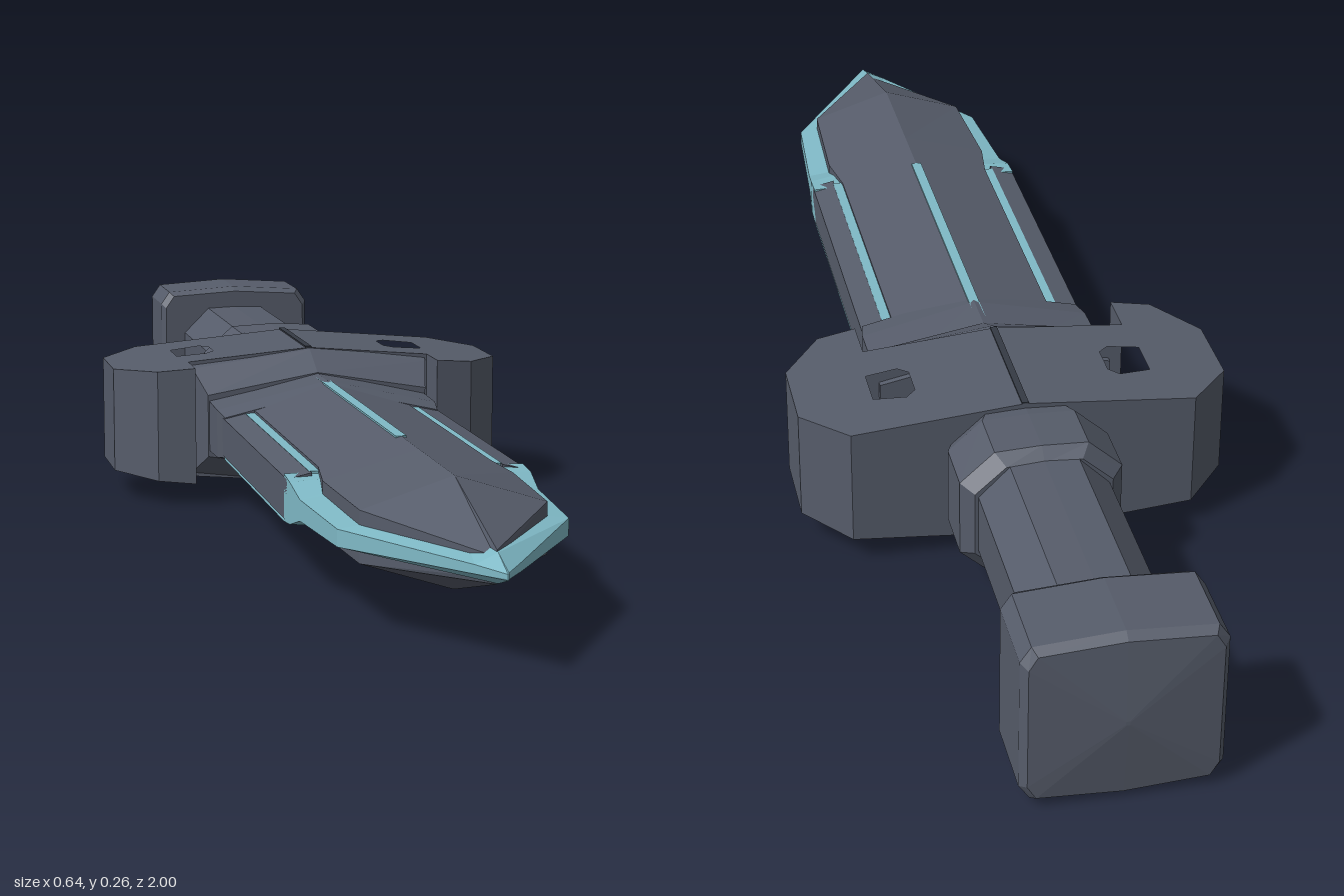
import * as THREE from 'three';

const steel = new THREE.MeshStandardMaterial({ color: 0x565c6a });
steel.name = 'darkSteel';
const glow = new THREE.MeshStandardMaterial({ color: 0x7fb9c6 });
glow.name = 'paleCyan';
const shade = new THREE.MeshStandardMaterial({ color: 0x353a44 });
shade.name = 'recessGrey';

// Skin counter-clockwise [x, y] sections placed along z, with flat faces and end caps.
function loft(rings) {
  const pos = [];
  const tri = (...pts) => pts.forEach((p) => pos.push(...p));
  const loops = rings.map(([z, pts]) => pts.map(([x, y]) => [x, y, z]));
  const n = loops[0].length;
  for (let r = 0; r < loops.length - 1; r++) {
    const a = loops[r], b = loops[r + 1];
    for (let i = 0; i < n; i++) {
      const j = (i + 1) % n;
      tri(a[i], a[j], b[j]);
      tri(a[i], b[j], b[i]);
    }
  }
  const first = loops[0], last = loops[loops.length - 1];
  for (let i = 1; i < n - 1; i++) {
    tri(first[0], first[i + 1], first[i]);
    tri(last[0], last[i], last[i + 1]);
  }
  const g = new THREE.BufferGeometry();
  g.setAttribute('position', new THREE.Float32BufferAttribute(pos, 3));
  g.computeVertexNormals();
  return g;
}

// Ridged six-sided section: half width, ridge height, edge height.
const ridged = (w, h, e) => [[w, -e], [w, e], [0, h], [-w, e], [-w, -e], [0, -h]];

// Chamfered section with a slight peak above and below.
function chamfered(w, h, cx, cy, peak = 0) {
  const q = [[w, h - cy], [w - cx, h], [0, h + peak], [-w + cx, h], [-w, h - cy]];
  return [...q, ...q.map(([x, y]) => [-x, -y])];
}

export function createModel() {
  const model = new THREE.Group();
  model.name = 'dagger';
  const body = new THREE.Group();
  body.name = 'daggerBody';
  body.position.y = 0.132;
  model.add(body);

  const add = (name, geometry, material, parent = body) => {
    const m = new THREE.Mesh(geometry, material);
    m.name = name;
    parent.add(m);
    return m;
  };
  const box = (name, material, [w, h, d], [x, y, z], parent = body) => {
    const m = add(name, new THREE.BoxGeometry(w, h, d), material, parent);
    m.position.set(x, y, z);
    return m;
  };

  // Blade core with a central ridge
  add('bladeCore', loft([
    [-0.2, ridged(0.125, 0.077, 0.042)],
    [0.47, ridged(0.125, 0.077, 0.042)],
    [0.55, ridged(0.136, 0.077, 0.038)],
    [0.74, ridged(0.128, 0.077, 0.036)],
    [0.945, ridged(0.003, 0.022, 0.014)],
  ]), steel);

  // Bright cutting edge round the point
  add('cuttingEdge', loft([
    [0.47, ridged(0.174, 0.04, 0.034)],
    [0.51, ridged(0.174, 0.04, 0.03)],
    [0.56, ridged(0.17, 0.036, 0.015)],
    [0.74, ridged(0.158, 0.034, 0.012)],
    [0.95, ridged(0.03, 0.02, 0.006)],
    [0.998, ridged(0.001, 0.005, 0.003)],
  ]), glow);

  // Blade root between the guard and the side grooves
  add('bladeRoot', loft([
    [-0.2, ridged(0.178, 0.08, 0.044)],
    [-0.04, ridged(0.178, 0.079, 0.038)],
    [0.0, ridged(0.172, 0.072, 0.032)],
  ]), steel);

  // Side rails and the lit grooves beside them
  for (const s of [-1, 1]) {
    const rail = [[0.138, -0.038], [0.174, -0.03], [0.174, 0.03], [0.138, 0.038]];
    const section = s > 0 ? rail : rail.map(([x, y]) => [-x, y]).reverse();
    add('sideRail', loft([[-0.1, section], [0.49, section]]), steel);
    const under = box('railUnderside', glow, [0.036, 0.004, 0.47], [s * 0.156, -0.036, 0.235]);
    under.rotation.z = s * 0.22;
    for (const v of [-1, 1]) {
      box('sideGroove', glow, [0.018, 0.008, 0.48], [s * 0.131, v * 0.034, 0.24]);
    }
  }

  // Ridge channels above and below
  for (const v of [-1, 1]) {
    box('ridgeChannel', glow, [0.016, 0.006, 0.62], [0, v * 0.0745, 0.14]);
    box('guardSeam', shade, [0.01, 0.004, 0.22], [0, v * 0.112, -0.29]);
  }

  // Guard wing outline (x, z), thinning outward, with a pocket
  const outline = [[0, -0.4], [0.255, -0.4], [0.32, -0.325], [0.32, -0.2], [0.26, -0.12],
    [0.2, -0.11], [0.2, -0.18], [0, -0.18]];
  const pocket = [[0.145, -0.31], [0.16, -0.325], [0.208, -0.315], [0.208, -0.25], [0.16, -0.245], [0.145, -0.26]];
  const toShape = (Kind, pts) => new Kind(pts.map(([x, z]) => new THREE.Vector2(x, -z)));
  const wingShape = toShape(THREE.Shape, outline);
  wingShape.holes.push(toShape(THREE.Path, pocket));
  let wing = new THREE.ExtrudeGeometry(wingShape, { depth: 2, bevelEnabled: false });
  wing.translate(0, 0, -1);
  wing.rotateX(-Math.PI / 2);
  const p = wing.attributes.position;
  for (let i = 0; i < p.count; i++) {
    p.setY(i, p.getY(i) * (0.112 - 0.088 * p.getX(i)));
  }
  wing.computeVertexNormals();
  for (const turn of [0, Math.PI]) {
    const side = new THREE.Group();
    side.name = turn ? 'rightGuard' : 'leftGuard';
    side.rotation.z = turn;
    body.add(side);
    add('guardWing', wing, steel, side);
    box('pocketFloor', steel, [0.07, 0.09, 0.085], [0.177, 0, -0.285], side);
  }

  // Sloped throat of the guard over the blade root
  add('guardThroat', loft([
    [-0.19, ridged(0.198, 0.112, 0.092)],
    [-0.17, ridged(0.195, 0.11, 0.085)],
    [-0.11, ridged(0.18, 0.081, 0.05)],
  ]), steel);

  // Collar, grip and pommel
  add('collar', loft([
    [-0.525, chamfered(0.1, 0.09, 0.045, 0.04)],
    [-0.505, chamfered(0.118, 0.104, 0.05, 0.045, 0.003)],
    [-0.42, chamfered(0.118, 0.104, 0.05, 0.045, 0.003)],
    [-0.39, chamfered(0.105, 0.1, 0.05, 0.045, 0.003)],
  ]), steel);
  const gripSection = chamfered(0.095, 0.09, 0.045, 0.045, 0.002);
  add('grip', loft([[-0.87, gripSection], [-0.5, gripSection]]), steel);
  add('pommel', loft([
    [-1.0, chamfered(0.003, 0.003, 0.001, 0.001)],
    [-0.988, chamfered(0.128, 0.113, 0.012, 0.02, 0.007)],
    [-0.975, chamfered(0.137, 0.121, 0.015, 0.022, 0.008)],
    [-0.86, chamfered(0.137, 0.121, 0.015, 0.022, 0.008)],
    [-0.848, chamfered(0.13, 0.114, 0.015, 0.022, 0.007)],
  ]), steel);

  return model;
}
